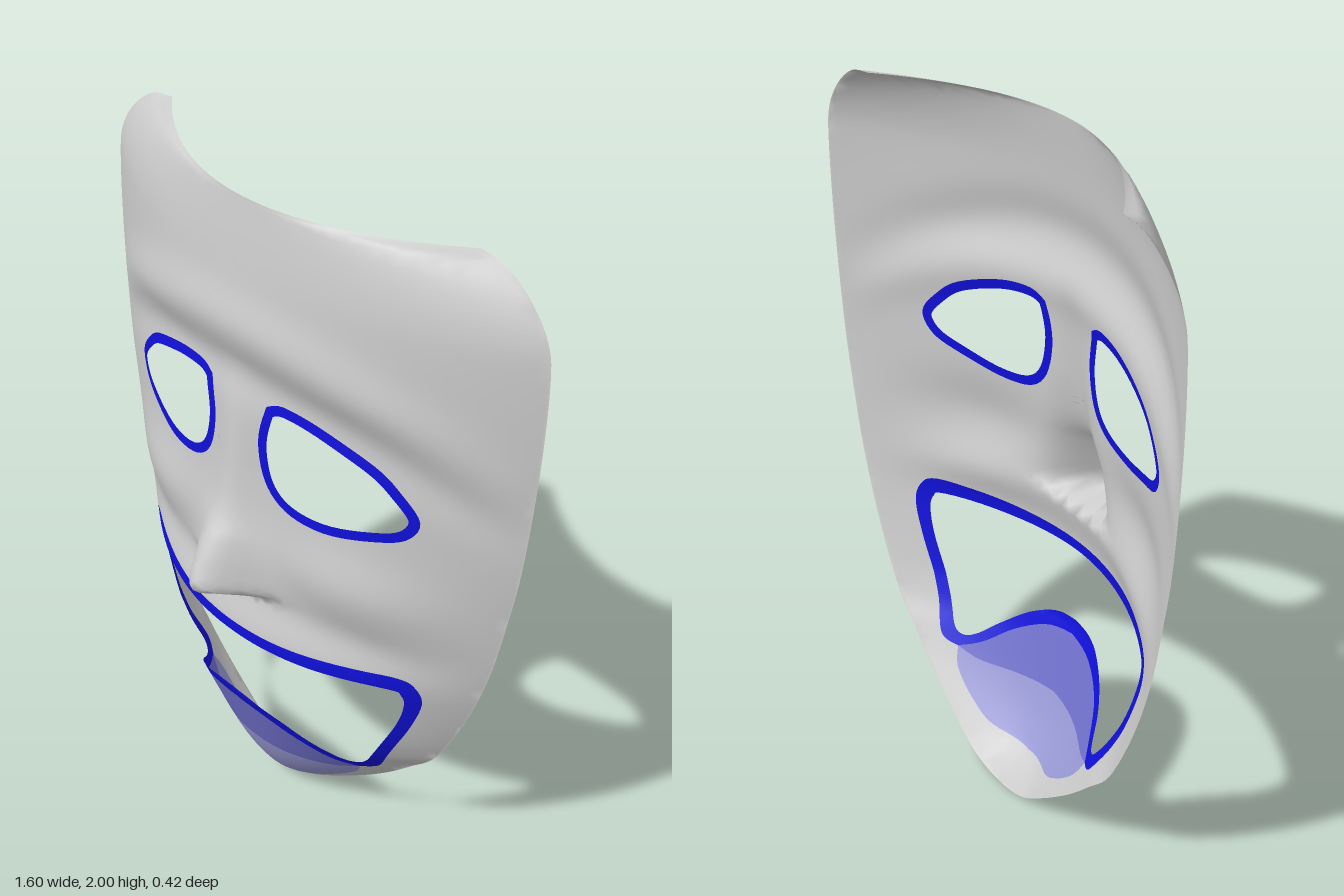
import * as THREE from 'three';

const V = (pts) => pts.map(([x, y]) => new THREE.Vector2(x, y));
const spline = (pts, n) => new THREE.SplineCurve(V(pts)).getPoints(n);
const EDGE_Z = -0.21;

// Value as a function of height, from [value, y] points listed top to bottom
function profile(pts) {
  const s = spline(pts, 120);
  return (y) => {
    if (y >= s[0].y) return s[0].x;
    for (let i = 1; i < s.length; i++) {
      if (y >= s[i].y) {
        const k = (y - s[i].y) / (s[i - 1].y - s[i].y || 1);
        return s[i].x + (s[i - 1].x - s[i].x) * k;
      }
    }
    return s[s.length - 1].x;
  };
}

// Half outline of the mask, and its depth along the middle
const outlinePts = [[0.56, 2], [0.64, 1.985], [0.72, 1.93], [0.78, 1.85], [0.8, 1.75], [0.8, 1.5],
  [0.78, 1.2], [0.75, 1], [0.71, 0.8], [0.645, 0.6], [0.55, 0.4], [0.46, 0.3], [0.36, 0.2],
  [0.24, 0.1], [0.14, 0.03], [0.06, 0.005], [0, 0]];
const halfWidth = profile(outlinePts);
const middle = profile([[0.03, 2], [0.055, 1.8], [0.06, 1.6], [0.05, 1.45], [0.05, 1.2], [0.055, 1],
  [0.06, 0.85], [0.085, 0.72], [0.08, 0.6], [0.07, 0.46], [0.05, 0.4], [-0.02, 0.2], [-0.07, 0.1],
  [-0.12, 0.04], [-0.205, 0]]);
const noseHeight = profile([[0, 1.55], [0.012, 1.4], [0.03, 1.2], [0.05, 1.1], [0.09, 1.03], [0.13, 0.95],
  [0.15, 0.9], [0.135, 0.875], [0.04, 0.855], [0, 0.835], [0, 0.8], [0, 0]]);
const bump = (d, s) => Math.exp(-(d * d) / (s * s));

// Depth of the mask at any point: curved shell plus nose, brow and cheeks
function relief(x, y) {
  const ax = Math.abs(x);
  const t = Math.min(1, ax / Math.max(halfWidth(y), 0.001));
  const c = middle(y);
  let z = c - (c - EDGE_Z) * t * t;
  const noseWidth = 0.06 + 0.045 * THREE.MathUtils.clamp((1.25 - y) / 0.35, 0, 1);
  z += noseHeight(y) * bump(x, noseWidth);
  const brow = 1.66 - 0.4 * ax * ax;
  const cheek = 1.03 - 0.1 * ax;
  const fade = 1 - t ** 4;
  z += fade * (0.02 * bump(y - brow, 0.08) - 0.015 * bump(y - brow + 0.14, 0.07));
  z += fade * bump(ax - 0.42, 0.25) * (0.03 * bump(y - cheek, 0.11) - 0.015 * bump(y - cheek + 0.18, 0.07));
  return z;
}

// Split triangles at their longest edge until all are small
function refine(a, b, c, out, max = 0.038) {
  const ab = a.distanceTo(b), bc = b.distanceTo(c), ca = c.distanceTo(a);
  const longest = Math.max(ab, bc, ca);
  if (longest < max) { out.push(a, b, c); return; }
  if (longest === bc) [a, b, c] = [b, c, a];
  else if (longest === ca) [a, b, c] = [c, a, b];
  const m = a.clone().add(b).multiplyScalar(0.5);
  refine(a, m, c, out, max);
  refine(m, b, c, out, max);
}

// Flat region with holes, pushed out onto the relief
function panel(name, material, contour, holes = []) {
  const shape = new THREE.Shape(contour);
  shape.holes = holes.map((h) => new THREE.Path(h));
  const flat = new THREE.ShapeGeometry(shape);
  const p = flat.attributes.position, idx = flat.index.array;
  const at = (i) => new THREE.Vector2(p.getX(idx[i]), p.getY(idx[i]));
  const tris = [];
  for (let i = 0; i < idx.length; i += 3) refine(at(i), at(i + 1), at(i + 2), tris);
  const pos = [], nor = [], e = 0.005;
  for (const { x, y } of tris) {
    pos.push(x, y, relief(x, y));
    const n = new THREE.Vector3(relief(x - e, y) - relief(x + e, y), relief(x, y - e) - relief(x, y + e), 2 * e);
    nor.push(...n.normalize().toArray());
  }
  const geo = new THREE.BufferGeometry();
  geo.setAttribute('position', new THREE.Float32BufferAttribute(pos, 3));
  geo.setAttribute('normal', new THREE.Float32BufferAttribute(nor, 3));
  const mesh = new THREE.Mesh(geo, material);
  mesh.name = name;
  return mesh;
}

const flip = (pts) => pts.map((p) => new THREE.Vector2(-p.x, p.y));
// Close a half contour that starts and ends on the middle line
const mirror = (half) => [...half, ...flip(half.slice(1, -1).reverse())];
const join = (a, b) => [...a, ...b.slice(1)];
const back = (a) => [...a].reverse();

// Inset of a closed loop, measured square to its direction
function inset(loop, d) {
  return loop.map((p, i) => {
    const q = loop[(i + 1) % loop.length].clone().sub(loop[(i + loop.length - 1) % loop.length]).normalize();
    return new THREE.Vector2(p.x + q.y * d, p.y - q.x * d);
  });
}

function paint(name, hex) {
  const m = new THREE.MeshStandardMaterial({ color: hex, side: THREE.DoubleSide });
  m.name = name;
  return m;
}

export function createModel() {
  const grey = paint('mask grey', 0xcccccc);
  const blue = paint('rim blue', 0x1010d8);
  const midBlue = paint('chin blue', 0x7070cc);
  const paleBlue = paint('chin pale blue', 0x9a9ad6);
  const group = new THREE.Group();
  group.name = 'mask';

  const outline = mirror([new THREE.Vector2(0, 2), ...spline(outlinePts, 80)]);

  // Eye openings, clockwise
  const eyePts = [[0.106, 1.455], [0.16, 1.475], [0.275, 1.46], [0.424, 1.407], [0.5, 1.35], [0.551, 1.28],
    [0.52, 1.216], [0.435, 1.18], [0.3, 1.153], [0.18, 1.168], [0.11, 1.23], [0.085, 1.343], [0.106, 1.455]];
  const eye = spline(eyePts, 60).slice(0, -1);
  const eyeHole = inset(eye, 0.028);

  // Mouth and chin curves, all meeting at the lower mouth corner
  const mouthUpper = spline([[0, 0.725], [0.2, 0.727], [0.4, 0.737], [0.51, 0.74], [0.55, 0.715], [0.56, 0.655],
    [0.52, 0.54], [0.46, 0.416], [0.4, 0.305], [0.37, 0.27], [0.33, 0.255]], 50);
  const lip = spline([[0.33, 0.255], [0.275, 0.28], [0.2, 0.345], [0.1, 0.4], [0, 0.42]], 18);
  const split = spline([[0.33, 0.255], [0.25, 0.228], [0.12, 0.227], [0, 0.235]], 12);
  const chin = spline([[0.33, 0.255], [0.3, 0.2], [0.22, 0.13], [0.13, 0.078], [0, 0.06]], 18);
  const mouthHole = mirror(spline([[0, 0.692], [0.25, 0.69], [0.48, 0.695], [0.515, 0.68], [0.518, 0.635],
    [0.49, 0.545], [0.43, 0.42], [0.37, 0.315], [0.335, 0.287], [0.3, 0.297], [0.25, 0.345], [0.17, 0.41],
    [0.08, 0.452], [0, 0.463]], 70));

  group.add(
    panel('face', grey, outline, [eye, flip(eye), mirror(join(mouthUpper, chin))]),
    panel('leftEyeRim', blue, eye, [eyeHole]),
    panel('rightEyeRim', blue, flip(eye), [flip(eyeHole)]),
    panel('mouthRim', blue, mirror(join(mouthUpper, lip)), [mouthHole]),
    panel('upperChinPatch', midBlue, mirror(join(back(lip), split))),
    panel('lowerChinPatch', paleBlue, mirror(join(back(split), chin))),
  );
  return group;
}
